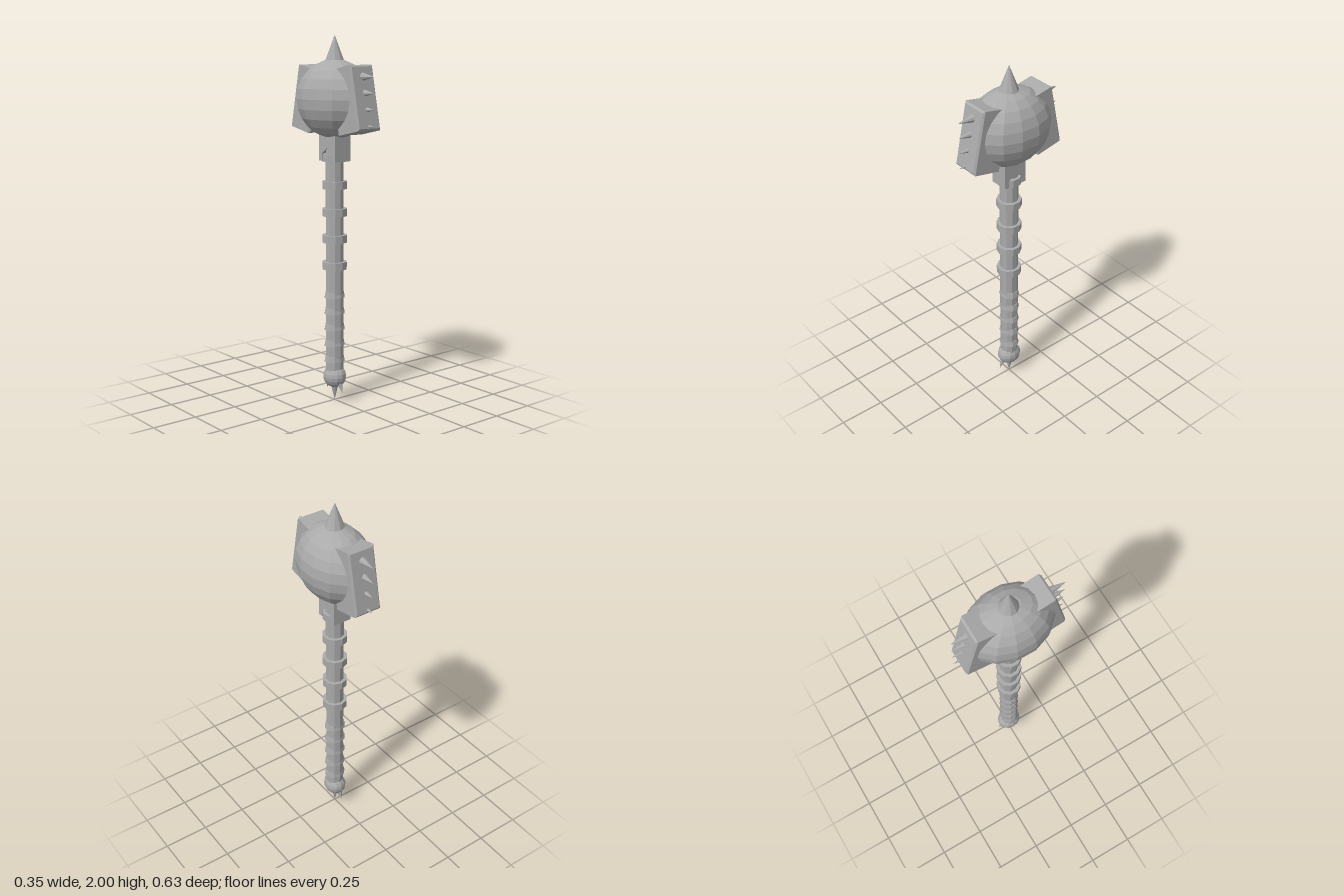
import * as THREE from 'three';

const steel = new THREE.MeshStandardMaterial({ color: 0xaaaaaa, flatShading: true });
steel.name = 'steel grey';

function part(name, geometry, parent, x = 0, y = 0, z = 0) {
  const mesh = new THREE.Mesh(geometry, steel);
  mesh.name = name;
  mesh.position.set(x, y, z);
  parent.add(mesh);
  return mesh;
}

// Cone running from a base point to a tip
function spike(name, parent, base, tip, radius, sides) {
  const a = new THREE.Vector3(...base), b = new THREE.Vector3(...tip);
  const dir = b.clone().sub(a);
  const mesh = part(name, new THREE.ConeGeometry(radius, dir.length(), sides), parent);
  mesh.position.copy(a).add(b).multiplyScalar(0.5);
  mesh.quaternion.setFromUnitVectors(new THREE.Vector3(0, 1, 0), dir.normalize());
  return mesh;
}

// Polygon extruded along z and centred, with an optional chamfer
function slab(points, depth, bevel = 0) {
  const shape = new THREE.Shape(points.map(p => new THREE.Vector2(...p)));
  const geo = new THREE.ExtrudeGeometry(shape, {
    depth: depth - 2 * bevel, bevelEnabled: bevel > 0, bevelSize: bevel,
    bevelThickness: bevel, bevelOffset: -bevel, bevelSegments: 1,
  });
  return geo.translate(0, 0, bevel - depth / 2);
}

// Tilted striking block with a row of spikes, facing +z
function strikingBlock() {
  const group = new THREE.Group();
  const w = 0.078, h = 0.171, d = 0.17;
  const geo = slab([[-w, -h], [w, -h], [w, h], [-w, h]], d, 0.01).translate(0, 0, -d / 2);
  const block = part('block', geo, group, 0, 1.68, 0.252);
  block.rotation.x = -0.204;
  for (const y of [1.785, 1.702, 1.618, 1.532]) {
    spike('blockSpike', group, [0, y, 0.225], [0, y, 0.316], 0.022, 8);
  }
  return group;
}

export function createModel() {
  const model = new THREE.Group();
  model.name = 'spikedMace';

  // Head
  const head = part('head', new THREE.SphereGeometry(1, 14, 12, Math.PI / 2), model, 0, 1.665, 0);
  head.scale.set(0.18, 0.21, 0.24);
  spike('topSpike', model, [0, 1.855, 0], [0, 2, 0], 0.056, 10);
  for (const [name, turn] of [['frontBlock', 0], ['backBlock', Math.PI]]) {
    const block = strikingBlock();
    block.name = name;
    block.rotation.y = turn;
    model.add(block);
  }

  // Bracket with a notched underside
  const bracket = slab([
    [-0.068, 1.335], [-0.042, 1.335], [-0.042, 1.375], [0, 1.407],
    [0.042, 1.375], [0.042, 1.335], [0.068, 1.335], [0.068, 1.5], [-0.068, 1.5],
  ], 0.106);
  part('bracket', bracket.rotateY(Math.PI / 2), model);

  // Shaft and its collars
  part('shaft', new THREE.CylinderGeometry(0.05, 0.05, 1.27, 10), model, 0, 0.805, 0);
  for (const y of [1.354, 1.206, 1.058, 0.913, 0.765]) {
    part('collar', new THREE.CylinderGeometry(0.068, 0.068, 0.042, 10), model, 0, y, 0);
  }

  // Slim grip rings
  for (let i = 0; i < 5; i++) {
    const ring = part('gripRing', new THREE.CylinderGeometry(0.054, 0.061, 0.032, 10), model, 0, 0.242 + i * 0.09, 0);
    ring.scale.z = 0.87;
  }

  // Pommel with three claws
  const pommel = part('pommel', new THREE.SphereGeometry(1, 12, 10), model, 0, 0.138, 0);
  pommel.scale.set(0.061, 0.064, 0.07);
  spike('pommelSpike', model, [0, 0.1, 0], [0, 0, 0], 0.024, 8);
  for (const s of [-1, 1]) {
    spike('pommelSpike', model, [0, 0.115, s * 0.04], [0, 0.052, s * 0.07], 0.02, 8);
  }
  return model;
}
